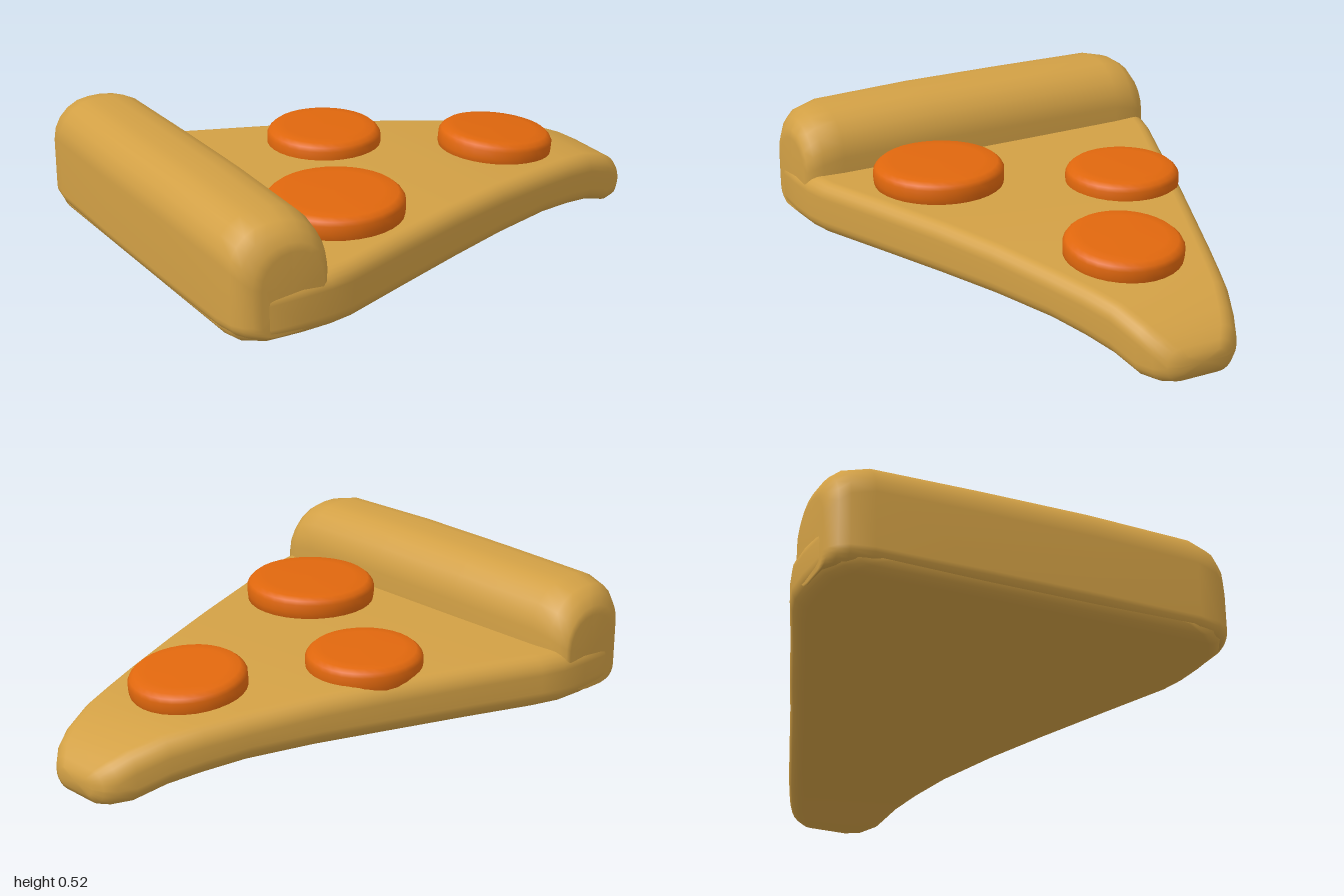
import * as THREE from 'three';

const dough = new THREE.MeshStandardMaterial({ color: 0xd2a045 });
dough.name = 'dough';
const pepperoniRed = new THREE.MeshStandardMaterial({ color: 0xe0670d });
pepperoniRed.name = 'pepperoniOrange';

// Counter-clockwise rounded rectangle; radii for corners (+,+) (-,+) (-,-) (+,-)
function roundRing(u0, u1, v0, v1, radii, steps = 5) {
  const limit = Math.min(u1 - u0, v1 - v0) * 0.48;
  const ring = [];
  [[u1, v1, -1, -1], [u0, v1, 1, -1], [u0, v0, 1, 1], [u1, v0, -1, 1]].forEach(([u, v, su, sv], k) => {
    const r = Math.min(radii[k], limit);
    for (let i = 0; i <= steps; i++) {
      const a = (k + i / steps) * Math.PI / 2;
      ring.push([u + su * r + r * Math.cos(a), v + sv * r + r * Math.sin(a)]);
    }
  });
  return ring;
}

// Smooth closed skin over a row of equal-length rings of [x, y, z]
function loft(rings) {
  const n = rings[0].length, pos = rings.flat(2), idx = [];
  for (let s = 0; s < rings.length - 1; s++) {
    for (let i = 0; i < n; i++) {
      const a = s * n + i, b = s * n + (i + 1) % n;
      idx.push(a, b, b + n, a, b + n, a + n);
    }
  }
  [rings[0], rings[rings.length - 1]].forEach((ring, end) => {
    const c = pos.length / 3, base = end ? (rings.length - 1) * n : 0;
    for (let k = 0; k < 3; k++) pos.push(ring.reduce((t, p) => t + p[k], 0) / n);
    for (let i = 0; i < n; i++) {
      const a = base + i, b = base + (i + 1) % n;
      if (end) idx.push(c, a, b); else idx.push(c, b, a);
    }
  });
  const g = new THREE.BufferGeometry();
  g.setAttribute('position', new THREE.Float32BufferAttribute(pos, 3));
  g.setIndex(idx);
  g.computeVertexNormals();
  return g;
}

function addMesh(group, name, geometry, material) {
  const m = new THREE.Mesh(geometry, material);
  m.name = name;
  group.add(m);
  return m;
}

export function createModel() {
  const pizza = new THREE.Group();
  pizza.name = 'pizzaSlice';

  // Drooping wedge: [x, half width, centre z, bottom y, top y]
  const wedge = [
    [-0.985, 0.60, 0, 0.14, 0.27], [-0.97, 0.66, 0, 0.12, 0.28], [-0.94, 0.70, 0, 0.105, 0.29],
    [-0.87, 0.737, 0, 0.1, 0.295], [-0.75, 0.742, 0, 0.1, 0.298], [-0.64, 0.737, 0, 0.1, 0.298],
    [-0.55, 0.715, 0.005, 0.1, 0.298], [-0.3, 0.62, 0.008, 0.1, 0.297], [0, 0.51, 0.01, 0.1, 0.293],
    [0.25, 0.418, 0.015, 0.098, 0.282], [0.5, 0.33, 0.02, 0.088, 0.262], [0.65, 0.277, 0.023, 0.068, 0.246],
    [0.77, 0.236, 0.027, 0.046, 0.228], [0.88, 0.195, 0.033, 0.006, 0.188], [0.94, 0.165, 0.033, 0.002, 0.155],
    [0.975, 0.13, 0.033, 0.007, 0.125], [0.995, 0.09, 0.033, 0.035, 0.1],
  ];
  addMesh(pizza, 'sliceBase', loft(wedge.map(([x, hw, c, y0, y1]) =>
    roundRing(y0, y1, c - hw, c + hw, [0.055, 0.055, 0.065, 0.065]).map(([y, z]) => [x, y, z]))), dough);

  // Puffy crust bar along z: [z, inset from back and front, top y]
  const ends = [[0.735, 0.1, 0.41], [0.728, 0.07, 0.44], [0.705, 0.04, 0.475], [0.67, 0.02, 0.498], [0.59, 0.006, 0.516]];
  const bar = [
    ...ends.map(([z, inset, top]) => [-z, inset, top]),
    [-0.2, 0, 0.52], [0.2, 0, 0.523],
    ...ends.slice().reverse(),
  ];
  addMesh(pizza, 'crust', loft(bar.map(([z, inset, top]) =>
    roundRing(-1 + inset, -0.622 - inset * 0.5, 0.125, top, [0.16, 0.14, 0.05, 0.1])
      .map(([x, y]) => [x, y, z]))), dough);

  // Pepperoni discs: [x, z, radius, centre top y, tilt]
  [[-0.38, 0.318, 0.243, 0.379, 0], [-0.067, -0.285, 0.211, 0.354, -0.02], [0.488, 0.036, 0.212, 0.336, -0.11]]
    .forEach(([x, z, r, top, tilt], i) => {
      const profile = [[0, -0.12], [r * 0.97, -0.12], [r, -0.06], [r, -0.03], [r - 0.008, -0.016],
        [r - 0.024, -0.003], [r * 0.7, 0], [0, 0.001]].map(([a, b]) => new THREE.Vector2(a, b));
      const disc = addMesh(pizza, 'pepperoni' + (i + 1), new THREE.LatheGeometry(profile, 32), pepperoniRed);
      disc.position.set(x, top, z);
      disc.rotation.z = tilt;
    });

  return pizza;
}
